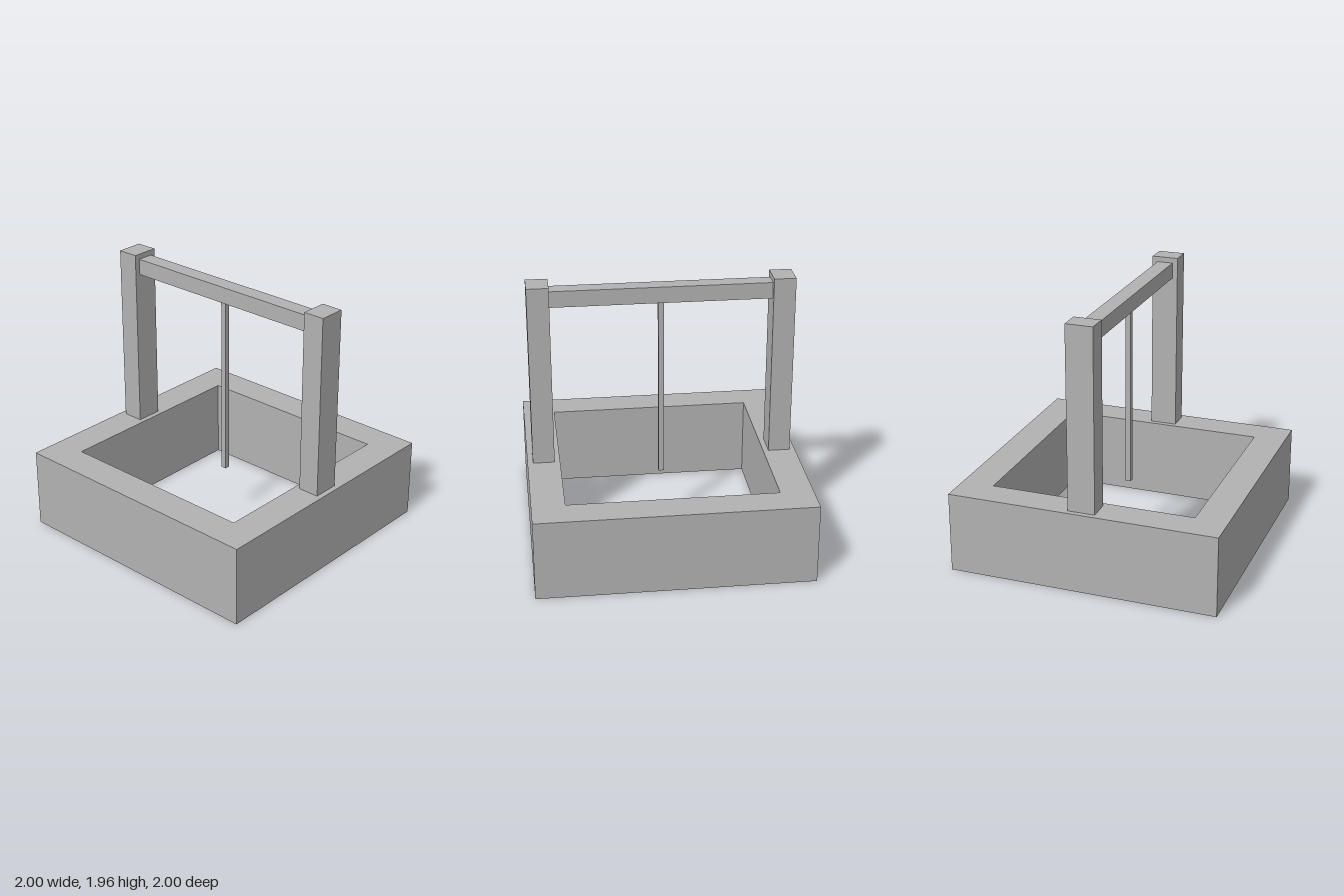
import * as THREE from 'three';

export function createModel() {
  const model = new THREE.Group();
  model.name = 'well';
  const stone = new THREE.MeshStandardMaterial({ color: 0xb2b2b2 });
  stone.name = 'light grey';

  const add = (name, geometry, x, y, z) => {
    const mesh = new THREE.Mesh(geometry, stone);
    mesh.name = name;
    mesh.position.set(x, y, z);
    model.add(mesh);
    return mesh;
  };
  // Box standing on the given bottom height
  const box = (name, w, h, d, x, bottom) =>
    add(name, new THREE.BoxGeometry(w, h, d), x, bottom + h / 2, 0);

  const square = (Path, r) =>
    new Path([[-r, -r], [r, -r], [r, r], [-r, r]].map(([x, y]) => new THREE.Vector2(x, y)));

  // Square wall, open at top and bottom
  const outline = square(THREE.Shape, 1);
  outline.holes.push(square(THREE.Path, 0.76));
  const wall = new THREE.ExtrudeGeometry(outline, { depth: 0.6, bevelEnabled: false });
  wall.rotateX(-Math.PI / 2);
  add('wellWall', wall, 0, 0, 0);

  // Posts on the side walls
  for (const [name, side] of [['leftPost', 1], ['rightPost', -1]]) {
    box(name, 0.16, 1.36, 0.2, side * 0.88, 0.6);
  }

  // Crossbeam and the rope hanging into the shaft
  box('crossbeam', 1.6, 0.12, 0.12, 0, 1.8);
  box('rope', 0.04, 1.36, 0.04, 0, 0.44);

  return model;
}
